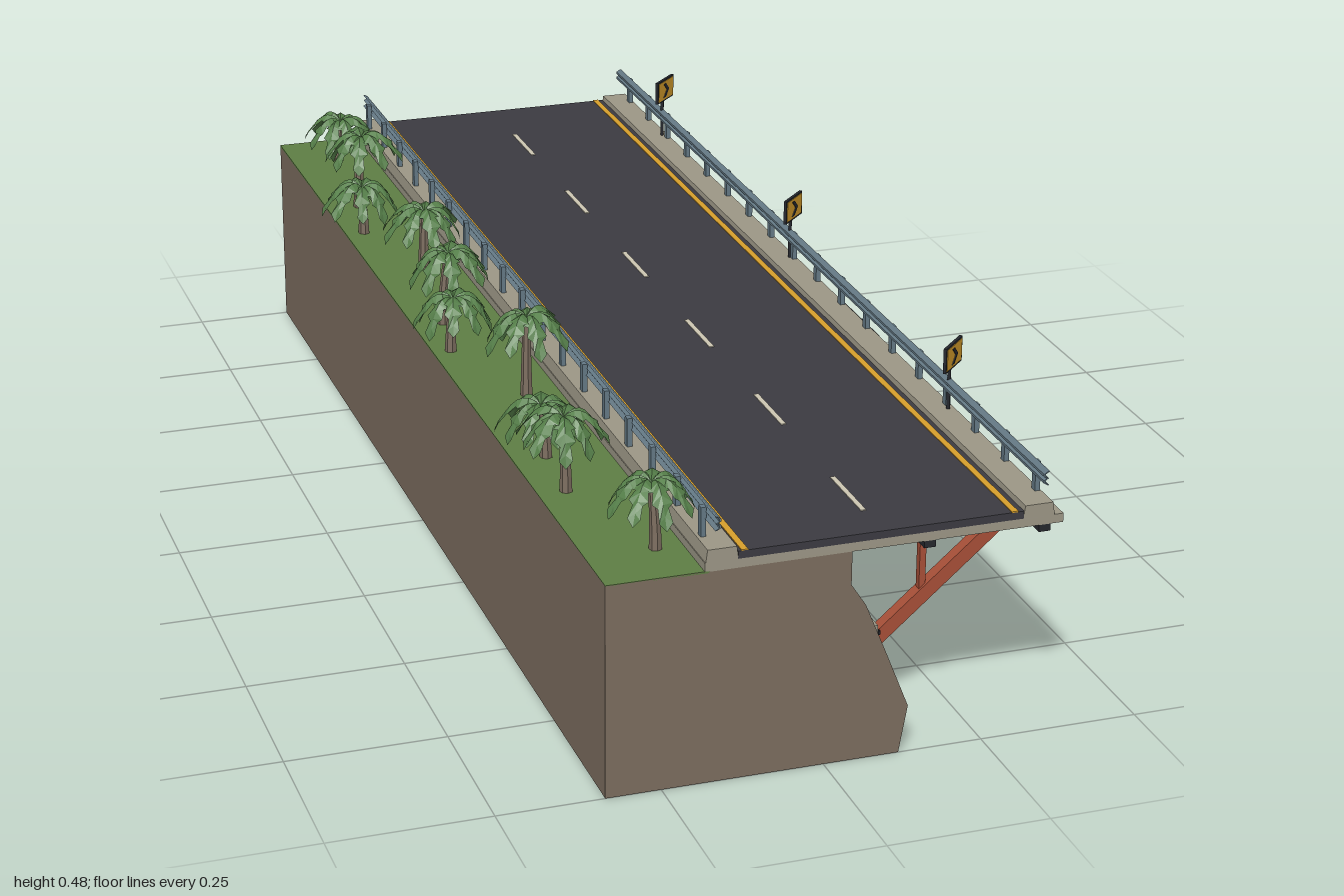
import * as THREE from 'three';
import { mergeGeometries } from 'three/addons/utils/BufferGeometryUtils.js';

const mat = (name, color, extra = {}) => {
  const m = new THREE.MeshStandardMaterial({ color, ...extra });
  m.name = name;
  return m;
};

export function createModel() {
  const M = {
    rock: mat('rock brown', 0x7d6e60, { flatShading: true }),
    grass: mat('grass green', 0x5f7f45),
    concrete: mat('concrete', 0x9d9887),
    asphalt: mat('asphalt', 0x3c3b42),
    yellow: mat('road yellow', 0xd8a02c),
    white: mat('line white', 0xcfc8b4),
    red: mat('red steel', 0xa85038),
    rail: mat('rail grey blue', 0x657a86),
    dark: mat('dark steel', 0x26282e),
    leaf: mat('palm green', 0x56804a, { flatShading: true, side: THREE.DoubleSide }),
  };
  const model = new THREE.Group();
  let seed = 11;
  const rnd = () => (seed = (seed * 16807) % 2147483647) / 2147483647;

  const add = (name, geo, material, parent = model) => {
    const mesh = new THREE.Mesh(geo, material);
    mesh.name = name;
    parent.add(mesh);
    return mesh;
  };
  // Box given by its limits on each axis
  const box = (x0, x1, y0, y1, z0, z1) =>
    new THREE.BoxGeometry(x1 - x0, y1 - y0, z1 - z0).translate((x0 + x1) / 2, (y0 + y1) / 2, (z0 + z1) / 2);
  const group = (name, x, y, z) => {
    const g = new THREE.Group();
    g.name = name;
    g.position.set(x, y, z);
    model.add(g);
    return g;
  };
  const extrude = (pts, depth) =>
    new THREE.ExtrudeGeometry(new THREE.Shape(pts.map(p => new THREE.Vector2(...p))), { depth, bevelEnabled: false });

  // Hillside: jagged cliff cross-sections joined along z
  const edge = [[0.037, 0.338], [0.044, 0.3], [0.068, 0.25], [0.098, 0.175], [0.125, 0.105], [0.136, 0.07], [0.146, 0]];
  const endEdge = [[0.037, 0.338], [0.037, 0.285], [0.06, 0.25], [0.093, 0.17], [0.121, 0.1], [0.131, 0.075], [0.118, 0]];
  const rings = 24, n = edge.length + 2, pos = [], idx = [];
  for (let r = 0; r <= rings; r++) {
    const end = r === 0 || r === rings, z = -1 + (2 * r) / rings;
    pos.push(-0.335, 0, z, -0.335, 0.338, z);
    (end ? endEdge : edge).forEach(([x, y], i) => {
      const inner = !end && i > 0, free = inner && i < edge.length - 1;
      pos.push(x - (inner ? rnd() * 0.024 : 0), y + (free ? (rnd() - 0.5) * 0.03 : 0), z + (inner ? (rnd() - 0.5) * 0.05 : 0));
    });
  }
  for (let r = 0; r < rings; r++) {
    for (let i = 0; i < n; i++) {
      const a = r * n + i, a1 = r * n + ((i + 1) % n), b = a + n, b1 = a1 + n;
      if ((r + i) % 2) idx.push(a, b, b1, a, b1, a1);
      else idx.push(a, b, a1, b, b1, a1);
    }
  }
  for (let i = 1; i < n - 1; i++) {
    const f = rings * n;
    idx.push(0, i, i + 1, f, f + i + 1, f + i);
  }
  let rock = new THREE.BufferGeometry();
  rock.setAttribute('position', new THREE.Float32BufferAttribute(pos, 3));
  rock.setIndex(idx);
  rock = rock.toNonIndexed();
  rock.computeVertexNormals();
  add('hillside', rock, M.rock);
  add('grassStrip', box(-0.335, -0.18, 0.336, 0.339, -1, 1), M.grass);

  // Road deck
  add('deckSlab', box(-0.187, 0.366, 0.338, 0.352, -1, 1), M.concrete);
  add('roadSurface', box(-0.137, 0.303, 0.352, 0.364, -1, 1), M.asphalt);
  for (const [x0, x1] of [[-0.186, -0.136], [0.302, 0.352]]) {
    add('curb', extrude([[x0, 0.35], [x1, 0.35], [x1 - 0.003, 0.372], [x0 + 0.003, 0.372]], 2).translate(0, 0, -1), M.concrete);
  }
  for (const x of [-0.127, 0.289]) add('edgeLine', box(x - 0.005, x + 0.005, 0.3635, 0.3655, -1, 1), M.yellow);
  for (let i = 0; i < 6; i++) {
    const z = -0.79 + i * 0.331;
    add('centreDash', box(0.078, 0.086, 0.3635, 0.3655, z - 0.062, z + 0.062), M.white);
  }

  // Guard rails: corrugated beam facing the road, on posts
  const wave = [[0, 0.4], [0.006, 0.404], [0.006, 0.408], [0.001, 0.411], [0.006, 0.414], [0.006, 0.418], [0, 0.422]];
  const beam = [...wave, ...wave.map(([x, y]) => [x - 0.003, y]).reverse()];
  for (const [x, s] of [[-0.169, 1], [0.338, -1]]) {
    const pts = beam.map(([px, y]) => [x + s * px, y]);
    add('guardRail', extrude(pts, 2).translate(0, 0, -1), M.rail);
    const posts = [];
    for (let i = 0; i < 18; i++) {
      const z = -0.95 + (i * 1.9) / 17, c = x - s * 0.005;
      posts.push(box(c - 0.004, c + 0.004, 0.37, 0.418, z - 0.006, z + 0.006));
    }
    add('guardRailPosts', mergeGeometries(posts), M.rail);
  }

  // Girders running the length of the deck
  for (const x of [0.157, 0.337]) add('girder', box(x - 0.009, x + 0.009, 0.327, 0.338, -1, 1), M.dark);

  // Cantilever brackets
  for (let i = 0; i < 8; i++) {
    const g = group('bracket', 0, 0, -0.875 + i * 0.25);
    add('crossBeam', box(0.03, 0.361, 0.317, 0.3375, -0.01, 0.01), M.red, g);
    add('hanger', box(0.193, 0.203, 0.195, 0.32, -0.006, 0.006), M.red, g);
    const a = [0.126, 0.128], b = [0.35, 0.321];
    const strut = add('strut', new THREE.BoxGeometry(Math.hypot(b[0] - a[0], b[1] - a[1]), 0.022, 0.02), M.red, g);
    strut.position.set((a[0] + b[0]) / 2, (a[1] + b[1]) / 2, 0);
    strut.rotation.z = Math.atan2(b[1] - a[1], b[0] - a[0]);
    add('footing', box(0.085, 0.12, 0.105, 0.162, -0.029, 0.029), M.concrete, g);
    add('basePlate', box(0.116, 0.125, 0.1, 0.15, -0.021, 0.021), M.dark, g);
    for (const y of [0.107, 0.143]) for (const z of [-0.015, 0.015])
      add('bolt', box(0.125, 0.129, y - 0.003, y + 0.003, z - 0.003, z + 0.003), M.dark, g);
  }

  // Curve warning signs
  const chevron = [[-0.011, 0.013], [-0.002, 0.013], [0.011, 0], [-0.002, -0.013], [-0.011, -0.013], [0.002, 0]].reverse();
  for (const z of [-0.74, -0.06, 0.635]) {
    const g = group('curveSign', 0.341, 0, z);
    g.rotation.y = Math.PI / 4;
    add('signPole', new THREE.CylinderGeometry(0.003, 0.003, 0.12, 8).translate(0, 0.41, -0.004), M.dark, g);
    add('signBack', box(-0.032, 0.032, 0.442, 0.483, -0.002, 0.003), M.dark, g);
    add('signFace', box(-0.029, 0.029, 0.445, 0.48, 0.003, 0.004), M.yellow, g);
    add('signArrow', extrude(chevron, 0.001).translate(0, 0.4625, 0.004), M.dark, g);
  }

  // Blank panel on the deck edge
  add('panelBack', box(0.364, 0.37, 0.326, 0.351, 0.103, 0.272), M.dark);
  add('panelBorder', box(0.37, 0.371, 0.328, 0.349, 0.106, 0.269), M.white);
  add('panelFace', box(0.371, 0.372, 0.33, 0.347, 0.109, 0.266), M.grass);

  // Palm frond: folded blade with a serrated edge, arching along +x
  const frondGeometry = () => {
    const p = [], ix = [], steps = 8;
    for (let k = 0; k <= steps; k++) {
      const t = k / steps, x = 0.074 * t - 0.006 * t * t, y = 0.07 * t - 0.118 * t * t;
      const w = k === steps ? 0 : (0.004 + 0.011 * Math.sin(Math.PI * Math.min(1, t * 0.85 + 0.1))) * (k % 2 ? 1.1 : 0.65);
      const back = k % 2 ? 0.005 : 0;
      p.push(x + back, y - w * 0.7, -w, x, y, 0, x + back, y - w * 0.7, w);
      if (k) for (const j of [0, 1]) {
        const c = k * 3 + j, o = c - 3;
        ix.push(o, o + 1, c + 1, o, c + 1, c);
      }
    }
    const g = new THREE.BufferGeometry();
    g.setAttribute('position', new THREE.Float32BufferAttribute(p, 3));
    g.setIndex(ix);
    g.computeVertexNormals();
    return g;
  };

  // Palms: x, z and top height
  const palms = [
    [-0.245, -0.885, 0.425], [-0.27, -0.625, 0.48], [-0.305, -0.49, 0.435], [-0.245, -0.29, 0.452], [-0.275, -0.03, 0.472],
    [-0.3, 0.09, 0.44], [-0.24, 0.305, 0.482], [-0.29, 0.545, 0.435], [-0.295, 0.675, 0.47], [-0.235, 0.905, 0.455],
  ];
  for (const [x, z, top] of palms) {
    const g = group('palm', x, 0.337, z), h = top - 0.337 - 0.011, lean = (rnd() - 0.5) * 0.02;
    const trunk = new THREE.CylinderGeometry(0.006, 0.01, h, 7, 4).translate(0, h / 2, 0);
    const tp = trunk.attributes.position;
    for (let i = 0; i < tp.count; i++) tp.setX(i, tp.getX(i) + lean * (1 - (tp.getY(i) / h) ** 2));
    add('palmTrunk', trunk, M.rock, g);
    const fronds = [], turn = rnd() * 6;
    for (let i = 0; i < 9; i++) {
      const s = 0.92 + rnd() * 0.16;
      fronds.push(frondGeometry().scale(s, s, s).rotateZ((rnd() - 0.6) * 0.3).rotateY(turn + (i * Math.PI * 2) / 9));
    }
    add('palmCrown', mergeGeometries(fronds).translate(0, h, 0), M.leaf, g);
  }
  return model;
}
